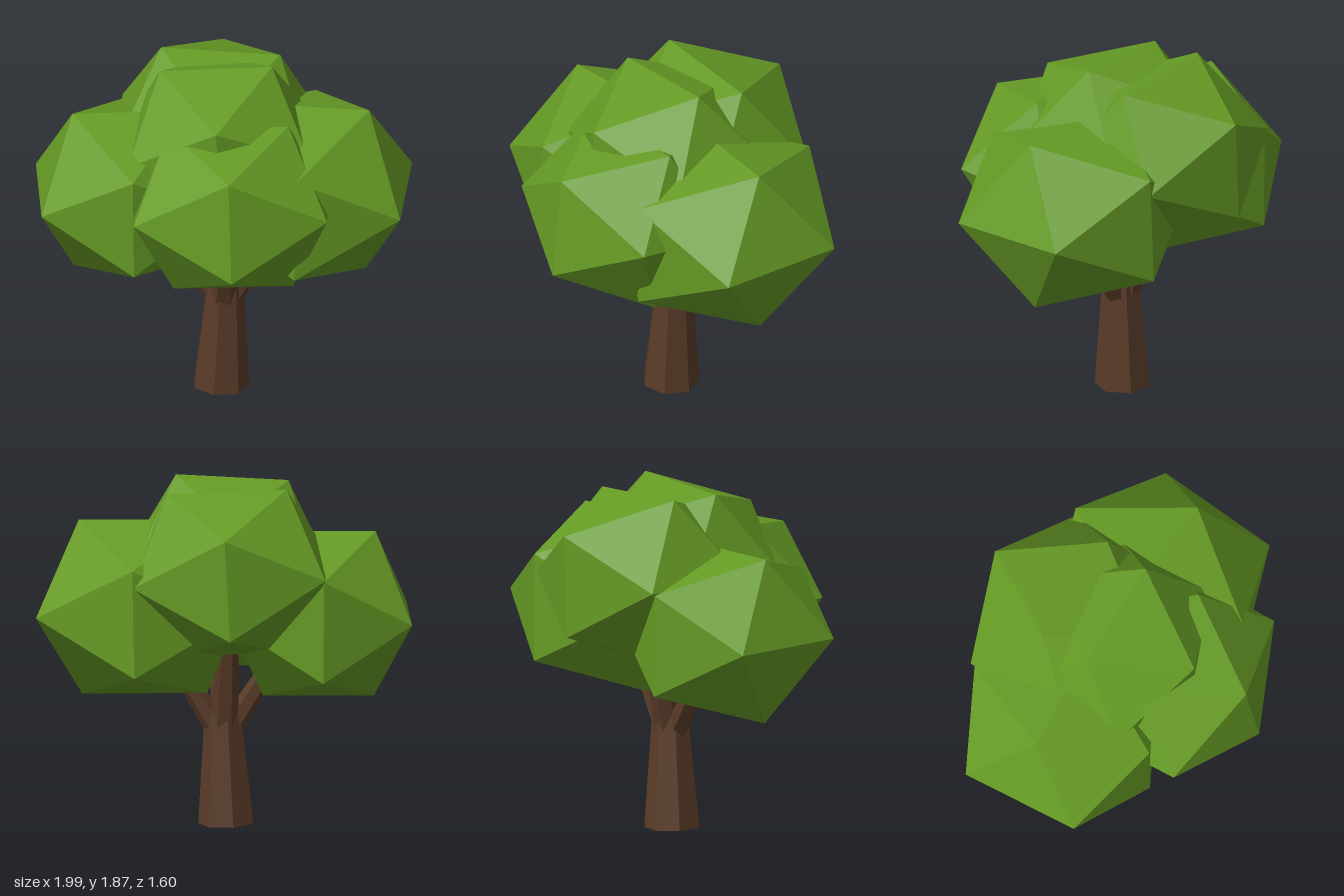
import * as THREE from 'three';

const leafGreen = new THREE.MeshStandardMaterial({ color: 0x659a24, flatShading: true });
leafGreen.name = 'leafGreen';
const barkBrown = new THREE.MeshStandardMaterial({ color: 0x593b28, flatShading: true });
barkBrown.name = 'barkBrown';

// Tapered, faceted limb between two points
function limb(name, from, to, r0, r1, sides) {
  const a = new THREE.Vector3(...from);
  const b = new THREE.Vector3(...to);
  const dir = b.clone().sub(a);
  const geo = new THREE.CylinderGeometry(r1, r0, dir.length(), sides, 1, false, Math.PI / 2);
  const mesh = new THREE.Mesh(geo, barkBrown);
  mesh.name = name;
  mesh.position.copy(a).add(b).multiplyScalar(0.5);
  mesh.quaternion.setFromUnitVectors(new THREE.Vector3(0, 1, 0), dir.normalize());
  return mesh;
}

// Twenty-sided leaf clump, stretched and slightly turned
function clump(name, centre, size, turn) {
  const mesh = new THREE.Mesh(new THREE.IcosahedronGeometry(1, 0), leafGreen);
  mesh.name = name;
  mesh.position.set(...centre);
  mesh.scale.set(...size);
  mesh.rotation.set(...turn);
  return mesh;
}

export function createModel() {
  const tree = new THREE.Group();
  tree.name = 'tree';

  // Trunk and the branches that fork out of it
  tree.add(
    limb('trunk', [-0.025, 0.003, -0.06], [-0.005, 0.6, -0.06], 0.153, 0.1, 7),
    limb('rightBranch', [-0.02, 0.48, -0.06], [-0.3, 0.92, -0.07], 0.065, 0.045, 6),
    limb('leftBranch', [0.02, 0.5, -0.06], [0.28, 0.92, -0.06], 0.065, 0.045, 6),
    limb('frontBranch', [-0.01, 0.52, -0.03], [0.01, 0.95, 0.14], 0.075, 0.055, 6),
    limb('backBranch', [-0.01, 0.5, -0.08], [-0.03, 1.05, -0.2], 0.075, 0.055, 6)
  );

  // Overlapping leaf clumps of the crown
  tree.add(
    clump('rightLeaves', [-0.51, 1.135, -0.08], [0.56, 0.52, 0.615], [0, 0.06, 0.01]),
    clump('leftLeaves', [0.42, 1.165, -0.06], [0.63, 0.548, 0.645], [0.02, -0.08, -0.02]),
    clump('frontLeaves', [0.035, 1.205, 0.3], [0.6, 0.52, 0.55], [-0.13, 0, 0.03]),
    clump('topLeaves', [-0.03, 1.445, -0.03], [0.565, 0.485, 0.565], [0, 0, 0.05]),
    clump('backLeaves', [-0.05, 1.395, -0.3], [0.6, 0.515, 0.585], [0, -0.03, -0.05])
  );
  return tree;
}
